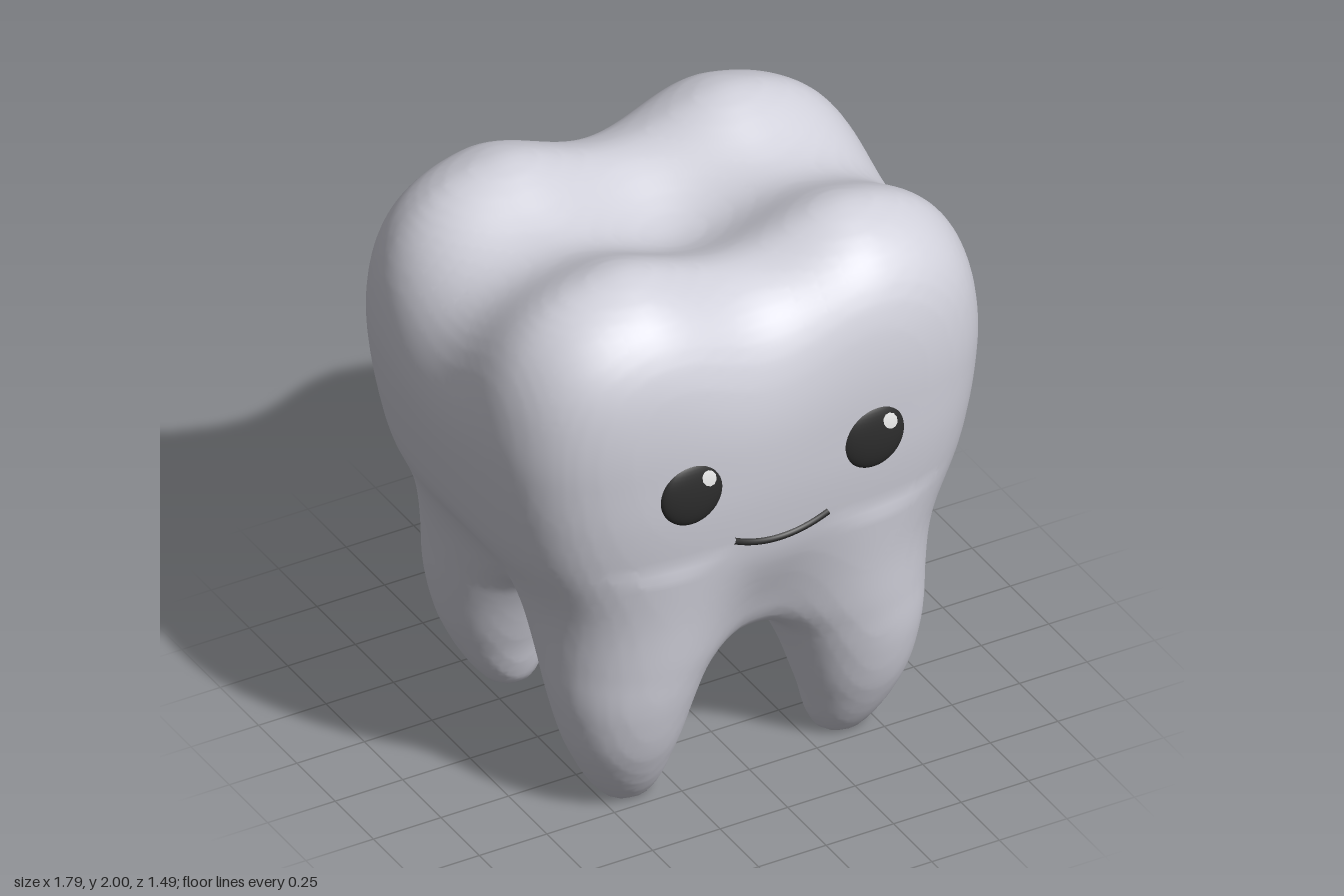
import * as THREE from 'three';

// Smooth table lookup: values at y0, y0 + 0.2, y0 + 0.4 ...
function profile(t, y0, y) {
  const s = Math.min(Math.max((y - y0) / 0.2, 0), t.length - 1.001);
  const i = Math.floor(s), f = s - i;
  const p = (k) => t[Math.min(Math.max(k, 0), t.length - 1)];
  const a = p(i - 1), b = p(i), c = p(i + 1), d = p(i + 2);
  return b + 0.5 * f * (c - a + f * (2 * a - 5 * b + 4 * c - d + f * (3 * (b - c) + d - a)));
}
const smin = (a, b, k) => {
  const h = Math.max(k - Math.abs(a - b), 0) / k;
  return Math.min(a, b) - h * h * k * 0.25;
};
const smax = (a, b, k) => -smin(-a, -b, k);
const bump = (v, w) => (Math.abs(v) < w ? 0.5 + 0.5 * Math.cos(Math.PI * v / w) : 0);

const HALF_WIDTH = [0.58, 0.64, 0.72, 0.82, 0.87, 0.897, 0.9, 0.9];
const HALF_DEPTH = [0.57, 0.62, 0.66, 0.695, 0.72, 0.73, 0.737, 0.745];
const ROOT_RADIUS = [-0.15, 0.08, 0.18, 0.245, 0.305, 0.34, 0.34];
const ROOT_CENTRE = [0.38, 0.395, 0.42, 0.415, 0.38, 0.35, 0.35];

// Tooth volume, negative inside
function tooth(x, y, z) {
  const gx = bump(x, 0.45), gz = bump(z, 0.42);
  // Crown: rounded box with a cross-shaped valley between four cusps
  const neck = 1 - THREE.MathUtils.smoothstep(y, 0.6, 1.0);
  const a = profile(HALF_WIDTH, 0.4, y) - 0.06 * neck * gz;
  let b = profile(HALF_DEPTH, 0.4, y) - 0.06 * neck * gx;
  if (z < 0) b += 0.017 * THREE.MathUtils.smoothstep(y, 1.1, 1.6) - 0.025 * gx;
  const top = Math.max(0, y + 0.11 * gx + 0.14 * gz - 1.4) / 0.637;
  const g = (x / a) ** 4 + (z / b) ** 4 + top ** 2.6;
  const crown = smax((g ** 0.25 - 1) * 0.75, 0.565 - y, 0.12);
  // Four tapered roots
  const c = profile(ROOT_CENTRE, -0.2, y);
  const r = Math.hypot(Math.abs(x) - c, Math.abs(z) / 0.96 - c) - profile(ROOT_RADIUS, -0.2, y);
  return smin(crown, Math.max(r, y - 0.95), 0.1);
}

// Skin a volume with one vertex per crossed grid cell
function skin(field, min, count, step) {
  const [nx, ny, nz] = count, stride = [1, nx, nx * ny];
  const at = (i, j, k) => [min[0] + i * step, min[1] + j * step, min[2] + k * step];
  const values = new Float32Array(nx * ny * nz);
  for (let k = 0, n = 0; k < nz; k++)
    for (let j = 0; j < ny; j++)
      for (let i = 0; i < nx; i++) values[n++] = field(...at(i, j, k));
  const pos = [], index = [], ids = new Int32Array(values.length).fill(-1);
  const corner = (m) => [m & 1, (m >> 1) & 1, m >> 2];
  for (let k = 0; k < nz - 1; k++) for (let j = 0; j < ny - 1; j++) for (let i = 0; i < nx - 1; i++) {
    const n = i + j * nx + k * nx * ny, sum = [0, 0, 0];
    let hits = 0;
    for (let m = 0; m < 8; m++) for (let d = 0; d < 3; d++) {
      if (m & (1 << d)) continue;
      const o = corner(m), q = n + o[0] + o[1] * nx + o[2] * nx * ny;
      const u = values[q], v = values[q + stride[d]];
      if ((u < 0) === (v < 0)) continue;
      o[d] += u / (u - v);
      for (let e = 0; e < 3; e++) sum[e] += o[e];
      hits++;
    }
    if (!hits) continue;
    ids[n] = pos.length / 3;
    const p = at(i + sum[0] / hits, j + sum[1] / hits, k + sum[2] / hits);
    // Pull the vertex onto the surface
    for (let it = 0; it < 2; it++) {
      const f = field(...p), grad = [0, 1, 2].map((e) => {
        const q = [...p];
        q[e] += 0.002;
        return (field(...q) - f) / 0.002;
      });
      const s = f / Math.max(grad[0] ** 2 + grad[1] ** 2 + grad[2] ** 2, 0.1);
      for (let e = 0; e < 3; e++) p[e] -= THREE.MathUtils.clamp(s * grad[e], -step / 3, step / 3);
    }
    pos.push(p[0], Math.max(p[1], 0), p[2]); // flat root tips
  }
  for (let n = 0; n < values.length; n++) for (let d = 0; d < 3; d++) {
    const m = n + stride[d];
    if (m >= values.length || (values[n] < 0) === (values[m] < 0)) continue;
    const u = stride[(d + 1) % 3], v = stride[(d + 2) % 3];
    const q = [n, n - u, n - u - v, n - v].map((e) => ids[e]);
    if (q.some((e) => !(e >= 0))) continue;
    if (values[n] >= 0) q.reverse();
    index.push(q[0], q[1], q[2], q[0], q[2], q[3]);
  }
  const geo = new THREE.BufferGeometry();
  geo.setAttribute('position', new THREE.Float32BufferAttribute(pos, 3));
  geo.setIndex(index);
  geo.computeVertexNormals();
  return geo;
}

// Depth of the front face at a point
function frontZ(x, y) {
  let lo = 0.3, hi = 1;
  for (let i = 0; i < 24; i++) {
    const mid = (lo + hi) / 2;
    if (tooth(x, y, mid) < 0) lo = mid; else hi = mid;
  }
  return lo;
}

export function createModel() {
  const material = (name, color) => new THREE.MeshStandardMaterial({ name, color });
  const enamel = material('enamel', 0xd0d0da);
  const dark = material('dark', 0x2d2d2d);
  const shine = material('shine', 0xf4f4f4);
  const model = new THREE.Group();
  model.name = 'tooth';
  const add = (parent, name, geo, mat) => {
    const mesh = new THREE.Mesh(geo, mat);
    mesh.name = name;
    parent.add(mesh);
    return mesh;
  };

  add(model, 'toothBody', skin(tooth, [-0.975, -0.175, -0.825], [66, 75, 56], 0.03), enamel);

  // Domed eyes, each with a small highlight
  const up = new THREE.Vector3(0, 1, 0);
  for (const side of [-1, 1]) {
    const eye = new THREE.Group();
    eye.name = side > 0 ? 'leftEye' : 'rightEye';
    eye.position.set(side * 0.335, 1.315, frontZ(0.335, 1.315) - 0.01);
    eye.scale.set(0.115, 0.12, 0.035);
    model.add(eye);
    add(eye, 'eyeball', new THREE.SphereGeometry(1, 32, 20), dark);
    const glint = add(eye, 'eyeHighlight', new THREE.SphereGeometry(1.02, 10, 4, 0, Math.PI * 2, 0, 0.28), shine);
    glint.quaternion.setFromUnitVectors(up, new THREE.Vector3(0.46, 0.46, 0.76).normalize());
  }

  // Smile following the front face
  const path = [];
  for (let i = -6; i <= 6; i++) {
    const x = i * 0.0292, y = 1.025 + 0.045 * (i / 6) ** 2;
    path.push(new THREE.Vector3(x, y, frontZ(x, y)));
  }
  add(model, 'smile', new THREE.TubeGeometry(new THREE.CatmullRomCurve3(path), 32, 0.0125, 8), dark);
  return model;
}
